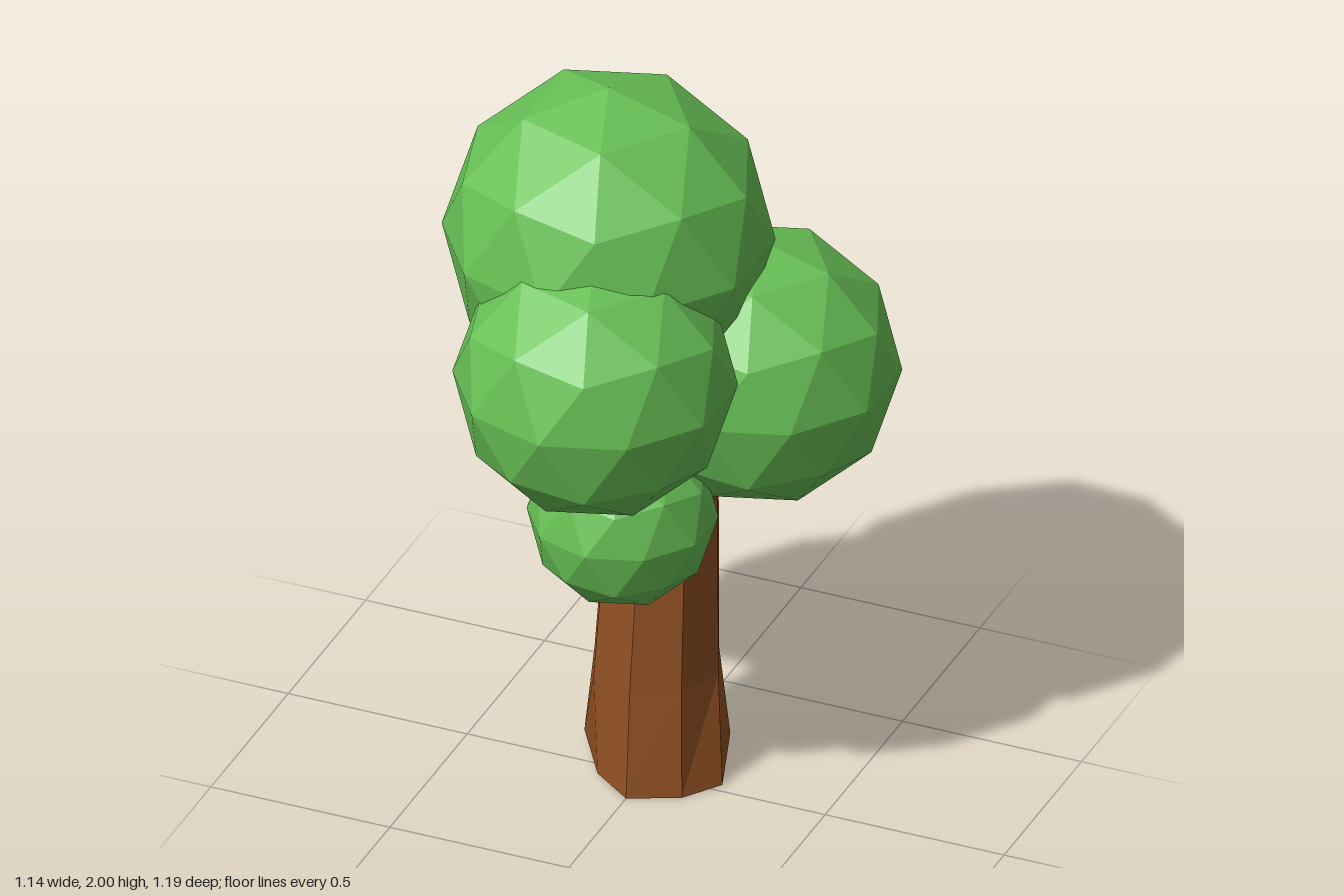
import * as THREE from 'three';

const leafMaterial = new THREE.MeshStandardMaterial({ color: 0x68c055, flatShading: true });
const barkMaterial = new THREE.MeshStandardMaterial({ color: 0x8f4f22, flatShading: true });

// Low-poly ball of leaves with a vertex at each pole
function foliage(name, x, y, z, radius) {
  const geometry = new THREE.IcosahedronGeometry(radius, 1);
  geometry.rotateZ(-Math.atan(2 / (1 + Math.sqrt(5))));
  const mesh = new THREE.Mesh(geometry, leafMaterial);
  mesh.name = name;
  mesh.position.set(x, y, z);
  return mesh;
}

// Regular eight-sided ring, counted from +x towards +z
function ring(y, cx, cz, radius) {
  return Array.from({ length: 8 }, (_, i) => {
    const a = (i * Math.PI) / 4;
    return [cx + radius * Math.cos(a), y, cz + radius * Math.sin(a)];
  });
}

// Closed skin through rings of equal size, lowest ring first
function loft(rings) {
  const n = rings[0].length;
  const positions = rings.flat(2);
  const index = [];
  for (let r = 0; r < rings.length - 1; r++) {
    for (let i = 0; i < n; i++) {
      const a = r * n + i;
      const b = r * n + ((i + 1) % n);
      index.push(a, a + n, b, b, a + n, b + n);
    }
  }
  const top = (rings.length - 1) * n;
  for (let i = 1; i < n - 1; i++) {
    index.push(0, i, i + 1); // underside
    index.push(top, top + i + 1, top + i); // upper end
  }
  const geometry = new THREE.BufferGeometry();
  geometry.setAttribute('position', new THREE.Float32BufferAttribute(positions, 3));
  geometry.setIndex(index);
  const flat = geometry.toNonIndexed();
  flat.computeVertexNormals();
  return flat;
}

export function createModel() {
  const tree = new THREE.Group();
  tree.name = 'tree';

  // Trunk: uneven flared foot, then a gentle taper leaning back
  const foot = [
    [0.2, 0, -0.03], [0.13, 0, 0.07], [0, 0, 0.13], [-0.11, 0.01, 0.06],
    [-0.22, 0.02, -0.11], [-0.15, 0.03, -0.27], [0, 0.025, -0.345], [0.14, 0.035, -0.22],
  ];
  const trunk = new THREE.Mesh(
    loft([foot, ring(0.29, -0.01, -0.09, 0.173), ring(1.1, -0.005, -0.15, 0.14)]),
    barkMaterial
  );
  trunk.name = 'trunk';
  tree.add(trunk);

  // Crown
  tree.add(
    foliage('topFoliage', -0.13, 1.57, -0.058, 0.43),
    foliage('frontFoliage', -0.045, 1.308, 0.225, 0.368),
    foliage('backLeftFoliage', 0.218, 1.163, -0.228, 0.368),
    foliage('backRightFoliage', -0.287, 0.967, -0.227, 0.297),
    foliage('lowerFrontFoliage', -0.03, 0.827, 0.083, 0.247)
  );
  return tree;
}
